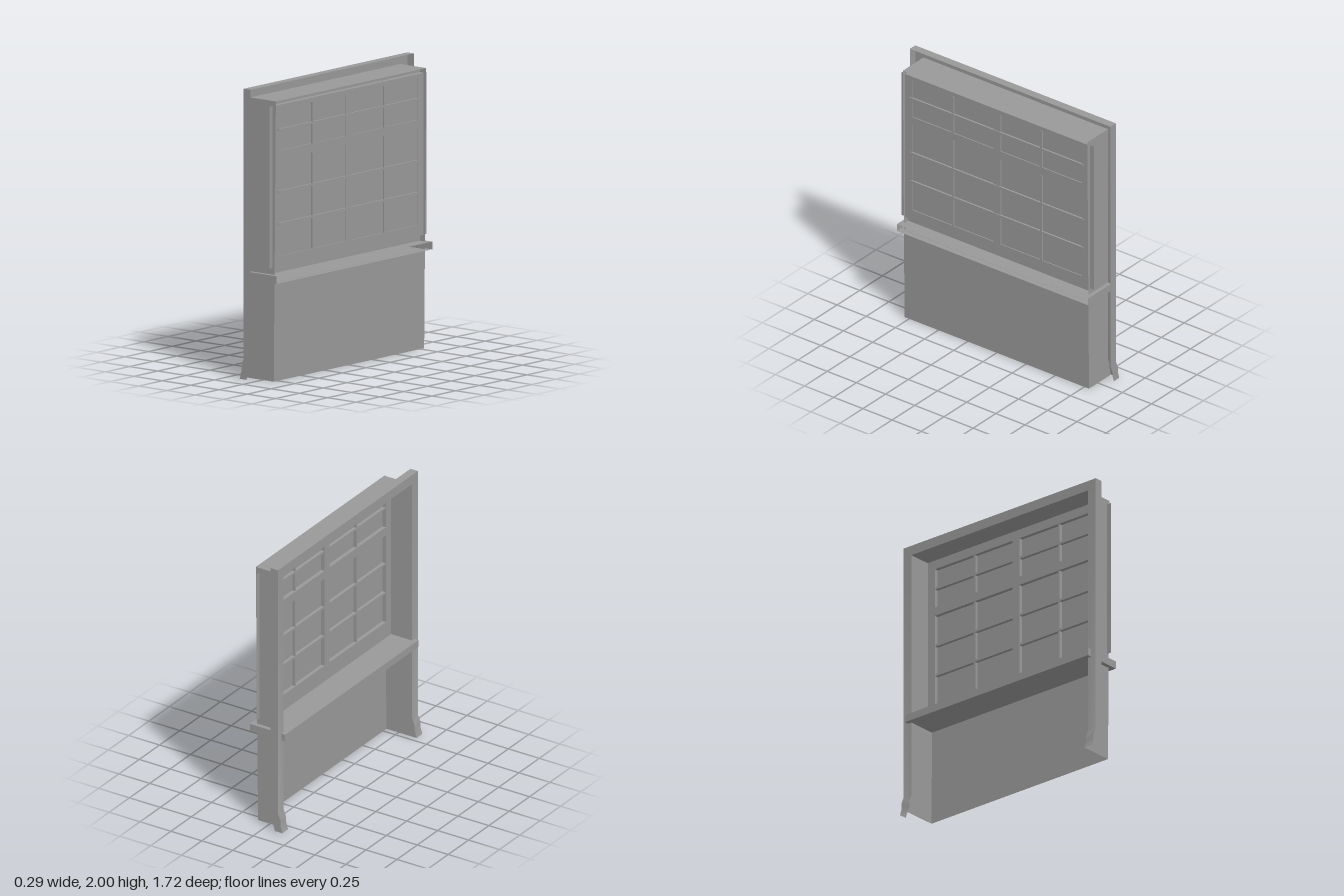
import * as THREE from 'three';
import { toCreasedNormals } from 'three/addons/utils/BufferGeometryUtils.js';

const material = new THREE.MeshStandardMaterial({ color: 0x999999, side: THREE.DoubleSide });

// Thin sheet stretched between two polylines with equal point counts
function ribbon(name, a, b) {
  const pos = [];
  for (let i = 0; i < a.length - 1; i++) {
    pos.push(...a[i], ...b[i], ...b[i + 1], ...a[i], ...b[i + 1], ...a[i + 1]);
  }
  const geo = new THREE.BufferGeometry();
  geo.setAttribute('position', new THREE.Float32BufferAttribute(pos, 3));
  const mesh = new THREE.Mesh(toCreasedNormals(geo, 0.6), material);
  mesh.name = name;
  return mesh;
}

// Box given by its lower and upper corners
function block(name, [x0, y0, z0], [x1, y1, z1]) {
  const mesh = new THREE.Mesh(new THREE.BoxGeometry(x1 - x0, y1 - y0, z1 - z0), material);
  mesh.position.set((x0 + x1) / 2, (y0 + y1) / 2, (z0 + z1) / 2);
  mesh.name = name;
  return mesh;
}

const IN = 0.79, OUT = 0.86;             // inner and outer edge of the casing
const TOP = 1.93;                        // ceiling of the recess
const outerX = (y) => 0.098 + 0.0092 * y; // slightly leaning outer edge

// Front and back edge of a leg with its flared foot, as [x, y]
const legFront = (top) => [[-0.145, 0], [-0.13, 0.05], [-0.13, 0.09], [-0.11, 0.14], [-0.11, top]];
const legBack = (top) => [[-0.085, 0], [-0.07, 0.05], [-0.07, 0.08], [-0.05, 0.13], [-0.05, top]];

const at = (profile, z) => profile.map(([x, y]) => [x, y, z]);

// Sheet swept along z from -w to w
const sweep = (name, profile, w) => ribbon(name, at(profile, w), at(profile, -w));

// Casing: open-backed channel with flared feet
function createCasing() {
  const group = new THREE.Group();
  group.name = 'casing';
  for (const s of [-1, 1]) {
    const leg = new THREE.Group();
    leg.name = s > 0 ? 'leftLeg' : 'rightLeg';
    leg.add(
      ribbon('legFront', at(legFront(2), s * IN), at(legFront(2), s * OUT)),
      ribbon('legOuterSide', at(legFront(2), s * OUT), at(legBack(2), s * OUT)),
      ribbon('legInnerSide', at(legFront(TOP), s * IN), at(legBack(TOP), s * IN)),
    );
    group.add(leg);
  }
  group.add(
    sweep('headerFront', [[-0.11, TOP], [-0.11, 2]], IN),
    sweep('headerTop', [[-0.11, 2], [-0.05, 2]], OUT),
  );
  return group;
}

// Recess: side walls, ceiling and panel below the sill
function createRecess() {
  const group = new THREE.Group();
  group.name = 'recess';
  const inner = legBack(TOP);
  const outer = inner.map(([, y]) => [outerX(y), y]);
  for (const s of [-1, 1]) group.add(ribbon('sideWall', at(inner, s * IN), at(outer, s * IN)));
  group.add(
    sweep('lowerPanel', [[outerX(0), 0], [outerX(0.683), 0.683]], IN),
    sweep('ceiling', [[-0.11, TOP], [outerX(TOP), TOP]], IN),
  );
  return group;
}

// Sill: box section left open on its outer side
function createSill() {
  const w = 0.82;
  const section = [[0.145, 0.735], [-0.142, 0.735], [-0.142, 0.682], [0.145, 0.682]];
  const group = new THREE.Group();
  group.name = 'sill';
  group.add(sweep('sillBoard', section, w));
  for (const z of [-w, w]) {
    group.add(ribbon('sillEnd', at([section[0], section[1]], z), at([section[3], section[2]], z)));
  }
  return group;
}

// Window: frame with four openings, a glass sheet and glazing bars
function createWindow() {
  const group = new THREE.Group();
  group.name = 'window';
  const x0 = 0.06, x1 = 0.094, glassX = 0.087;
  const bottom = 0.78, top = 1.895;
  const za = 0.03, zb = 0.725;
  const rows = [
    { y0: 1.58, y1: 1.865, panes: 2 },
    { y0: 0.855, y1: 1.518, panes: 3 },
  ];

  const rect = (Type, a, b, c, d) =>
    new Type([[a, b], [c, b], [c, d], [a, d]].map((p) => new THREE.Vector2(...p)));
  const shape = rect(THREE.Shape, -IN, bottom, IN, top);
  for (const { y0, y1 } of rows) {
    shape.holes.push(rect(THREE.Path, za, y0, zb, y1), rect(THREE.Path, -zb, y0, -za, y1));
  }
  const geo = new THREE.ExtrudeGeometry(shape, { depth: x1 - x0, bevelEnabled: false });
  geo.rotateY(Math.PI / 2).translate(x0, 0, 0);
  const frame = new THREE.Mesh(geo, material);
  frame.name = 'windowFrame';
  group.add(frame);

  // The glass sheet runs a little past the side walls
  group.add(sweep('glass', [[glassX, bottom], [glassX, top]], 0.825));
  group.add(sweep('topRail', [[x0, top], [x0, TOP]], IN));
  group.add(sweep('bottomRail', [[x0, 0.735], [x0, bottom]], IN));

  const t = 0.008;
  for (const { y0, y1, panes } of rows) {
    for (let i = 1; i < panes; i++) {
      const y = y0 + ((y1 - y0) * i) / panes;
      group.add(block('horizontalBar', [x0 + 0.004, y - t, -0.745], [x1 + 0.006, y + t, 0.745]));
    }
    for (const s of [-1, 1]) {
      const z = (s * (za + zb)) / 2;
      group.add(block('verticalBar', [x0 + 0.006, y0, z - t], [x1 + 0.004, y1, z + t]));
    }
  }
  return group;
}

export function createModel() {
  const model = new THREE.Group();
  model.name = 'windowAlcove';
  model.add(createCasing(), createRecess(), createSill(), createWindow());
  return model;
}
